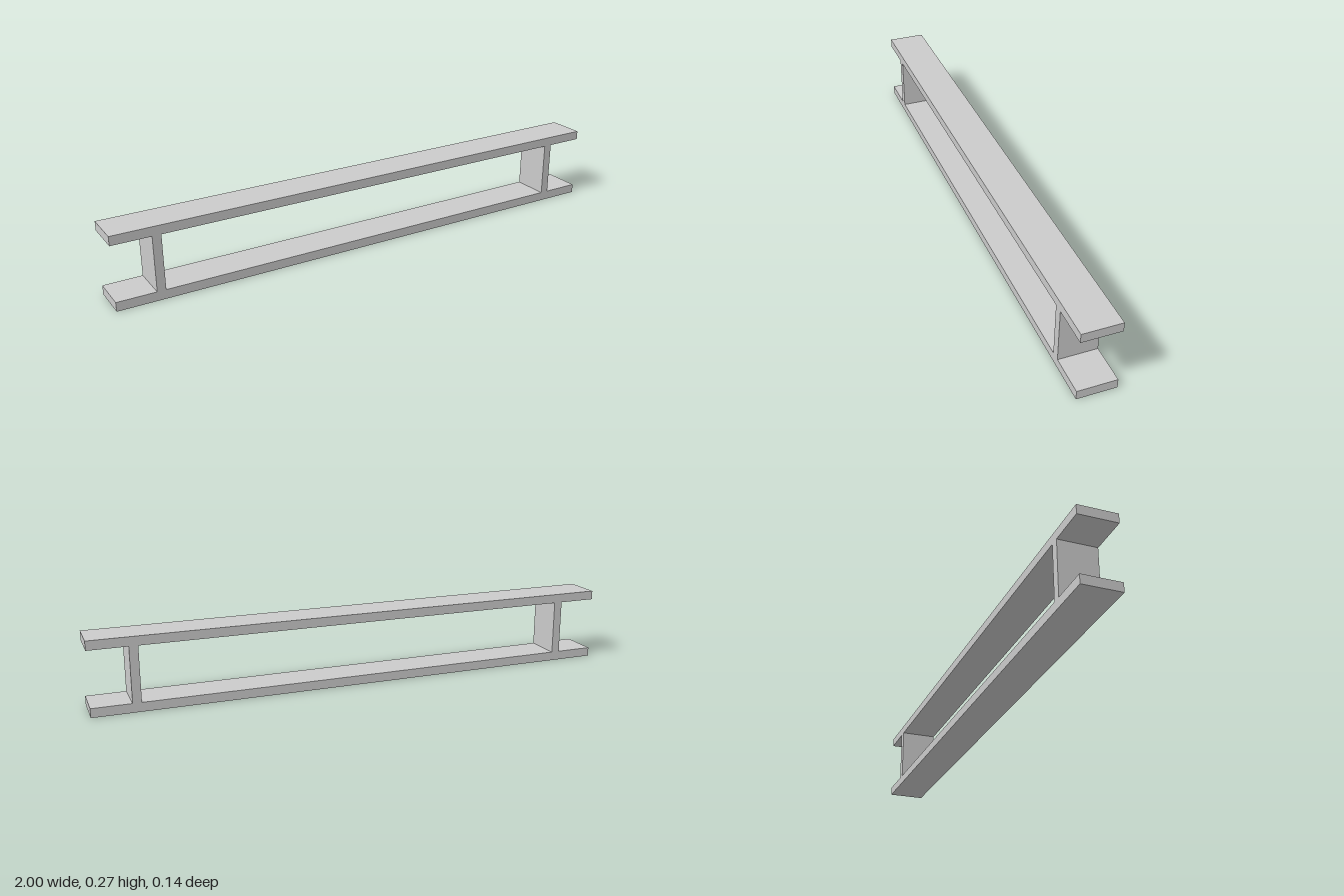
import * as THREE from 'three';

const LENGTH = 2, DEPTH = 0.142, HEIGHT = 0.273, BOARD = 0.034;
const POST_X = 0.841, POST_W = 0.032;

export function createModel() {
  const group = new THREE.Group();
  const material = new THREE.MeshStandardMaterial({ color: 0xcccccc, flatShading: true });

  const addBox = (name, w, h, x, y) => {
    const mesh = new THREE.Mesh(new THREE.BoxGeometry(w, h, DEPTH), material);
    mesh.name = name;
    mesh.position.set(x, y, 0);
    group.add(mesh);
  };

  // Two long horizontal boards
  addBox('bottomBoard', LENGTH, BOARD, 0, BOARD / 2);
  addBox('topBoard', LENGTH, BOARD, 0, HEIGHT - BOARD / 2);

  // Upright dividers, set in from each end
  for (const [name, side] of [['leftUpright', 1], ['rightUpright', -1]]) {
    addBox(name, POST_W, HEIGHT - 2 * BOARD, side * POST_X, HEIGHT / 2);
  }

  return group;
}
